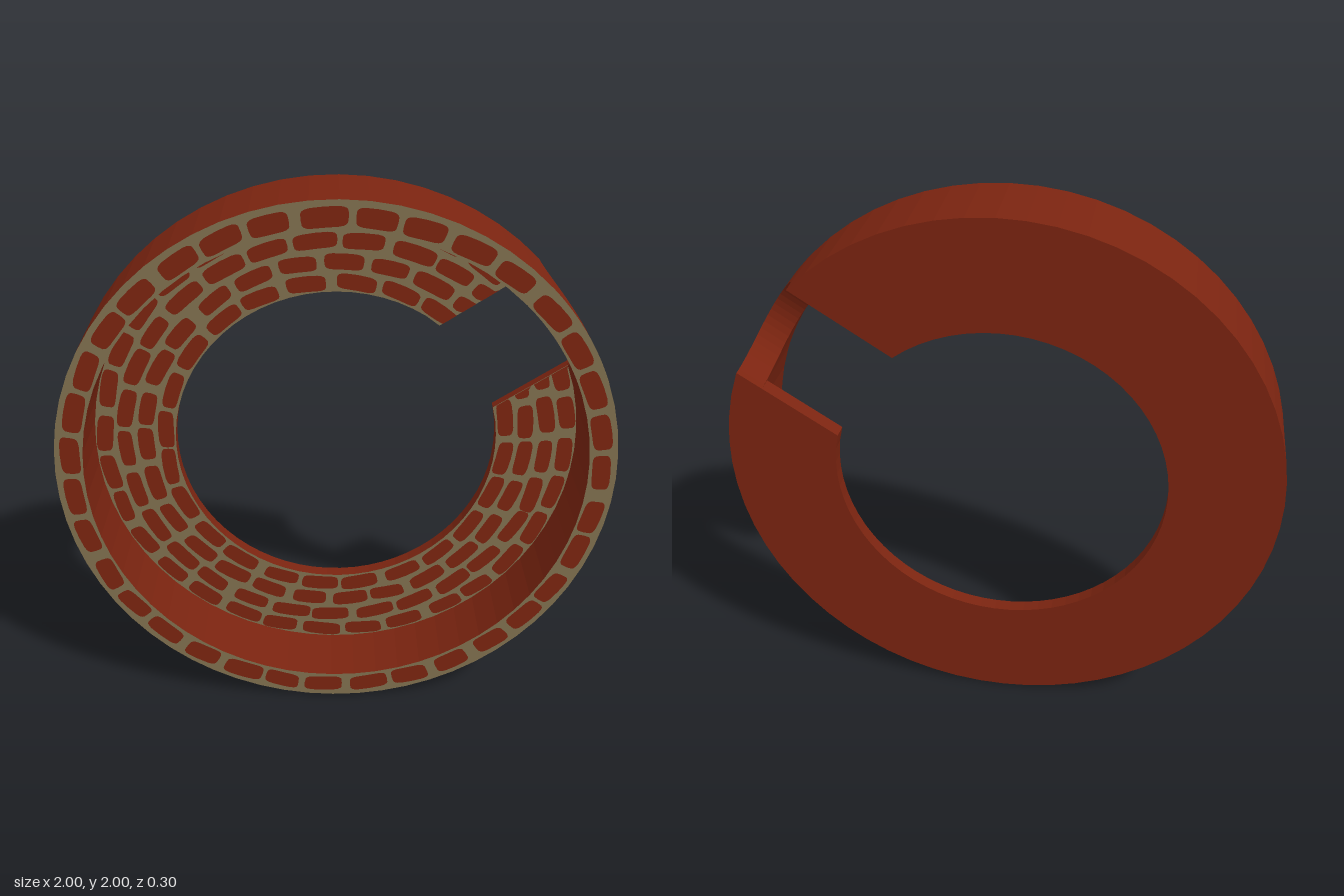
import * as THREE from 'three';

const brickRed = new THREE.MeshStandardMaterial({ color: 0x7b2410 });
brickRed.name = 'brick red';
const mortar = new THREE.MeshStandardMaterial({ color: 0x80704f });
mortar.name = 'mortar';

const SLOT = THREE.MathUtils.degToRad(33); // direction of the slot
const CUT = 0.2;                           // radius of the round cutter that makes the slot
const BACK = -0.15, FRONT = 0.15, FLOOR = -0.1;
const R_HOLE = 0.6, R_WALL = 0.9, R_OUT = 1;
const SEGMENTS = 60;

let seed = 7;
const rand = () => (seed = (seed * 16807) % 2147483647) / 2147483647;

// point at radius r, offset v sideways from the slot axis
const angleAt = (r, v) => SLOT + Math.asin(v / r);
const polar = (r, a, z) => new THREE.Vector3(r * Math.cos(a), r * Math.sin(a), z);

// cross-section corners: inner front, outer front, outer back, inner back
const section = (ri, ro, ai, ao, zf, zb) =>
  [polar(ri, ai, zf), polar(ro, ao, zf), polar(ro, ao, zb), polar(ri, ai, zb)];

// sections running round the ring, from one slot side to the other
function arcSections(ri, ro, zf, zb, v) {
  const list = [];
  const a0i = angleAt(ri, v), a0o = angleAt(ro, v);
  const a1i = angleAt(ri, -v) + Math.PI * 2, a1o = angleAt(ro, -v) + Math.PI * 2;
  for (let i = 0; i <= SEGMENTS; i++) {
    const t = i / SEGMENTS;
    list.push(section(ri, ro, a0i + (a1i - a0i) * t, a0o + (a1o - a0o) * t, zf, zb));
  }
  return list;
}

// mesh from a list of triangles, flat shaded
function facetMesh(points, material, name) {
  const g = new THREE.BufferGeometry().setFromPoints(points);
  g.computeVertexNormals();
  const m = new THREE.Mesh(g, material);
  m.name = name;
  return m;
}

// joins the sections; the front face is mortar, the other sides are red
function sweep(sections, name, capped) {
  const face = [], sides = [];
  const quad = (out, a, b, c, d) => out.push(a, b, c, a, c, d);
  for (let i = 0; i < sections.length - 1; i++) {
    const s = sections[i], t = sections[i + 1];
    for (let k = 0; k < 4; k++) {
      const n = (k + 1) % 4;
      quad(k === 0 ? face : sides, s[k], s[n], t[n], t[k]);
    }
  }
  if (capped) {
    const s = sections[0], e = sections[sections.length - 1];
    quad(sides, s[0], s[3], s[2], s[1]);
    quad(sides, e[0], e[1], e[2], e[3]);
  }
  const group = new THREE.Group();
  group.name = name;
  group.add(facetMesh(face, mortar, name + 'Face'), facetMesh(sides, brickRed, name + 'Sides'));
  return group;
}

// outer rim with the half-round notch in its back edge
function makeRim() {
  const sections = [];
  const steps = 24;
  for (let i = 0; i < steps; i++) {
    const p = Math.PI * i / steps, v = -CUT * Math.cos(p);
    sections.push(section(R_WALL, R_OUT, angleAt(R_WALL, v), angleAt(R_OUT, v),
      FRONT, BACK + CUT * Math.sin(p)));
  }
  sections.push(...arcSections(R_WALL, R_OUT, FRONT, BACK, CUT));
  return sweep(sections, 'rim', false);
}

// back plate with the slot open to the centre hole
function makePlate() {
  const sections = arcSections(R_HOLE, R_WALL, FLOOR, BACK, CUT);
  // the round cutter narrows slightly towards the front of the plate
  const narrow = CUT - Math.sqrt(CUT * CUT - (FLOOR - BACK) ** 2);
  const side = new THREE.Vector3(-Math.sin(SLOT), Math.cos(SLOT), 0);
  for (const k of [0, 1]) {
    sections[0][k].addScaledVector(side, -narrow);
    sections[SEGMENTS][k].addScaledVector(side, narrow);
  }
  return sweep(sections, 'plate', true);
}

// one row of thin, rounded bricks round the ring
function makeRow(radius, width, z, name, slotted) {
  const row = new THREE.Group();
  row.name = name;
  const count = Math.round(Math.PI * 2 * radius / 0.168);
  const step = Math.PI * 2 / count, start = rand() * step;
  const cs = Math.cos(SLOT), sn = Math.sin(SLOT), edge = CUT - 0.006;
  const soft = x => Math.sign(x) * Math.abs(x) ** 0.45;
  for (let i = 0; i < count; i++) {
    const mid = start + (i + (rand() - 0.5) * 0.12) * step;
    const half = step * (0.39 + rand() * 0.07);
    const tall = width * (0.46 + rand() * 0.06), lean = (rand() - 0.5) * 0.012;
    const midV = radius * Math.sin(mid - SLOT);
    const pts = [];
    let clipped = 0;
    for (let k = 0; k < 20; k++) {
      const t = k / 20 * Math.PI * 2, along = soft(Math.cos(t));
      const a = mid - half * along;
      const r = radius + tall * soft(Math.sin(t)) + lean * along;
      const u = r * Math.cos(a - SLOT);
      let v = r * Math.sin(a - SLOT);
      // trim at the slot
      if (slotted && u > 0 && Math.abs(v) < edge) {
        v = Math.sign(midV) * edge;
        clipped++;
      }
      pts.push(new THREE.Vector2(u * cs - v * sn, u * sn + v * cs));
    }
    if (clipped > 18) continue;
    const brick = new THREE.Mesh(new THREE.ShapeGeometry(new THREE.Shape(pts)), brickRed);
    brick.name = 'brick';
    brick.position.z = z + 0.003;
    row.add(brick);
  }
  return row;
}

export function createModel() {
  const model = new THREE.Group();
  model.name = 'brickRing';
  const ring = new THREE.Group();
  ring.name = 'ring';
  ring.position.y = 1;
  ring.add(makeRim(), makePlate());
  ring.add(makeRow(0.944, 0.07, FRONT, 'rimBricks', false));
  [0.863, 0.788, 0.711, 0.637].forEach((r, i) =>
    ring.add(makeRow(r, 0.06, FLOOR, 'plateBricks' + (i + 1), true)));
  model.add(ring);
  return model;
}
